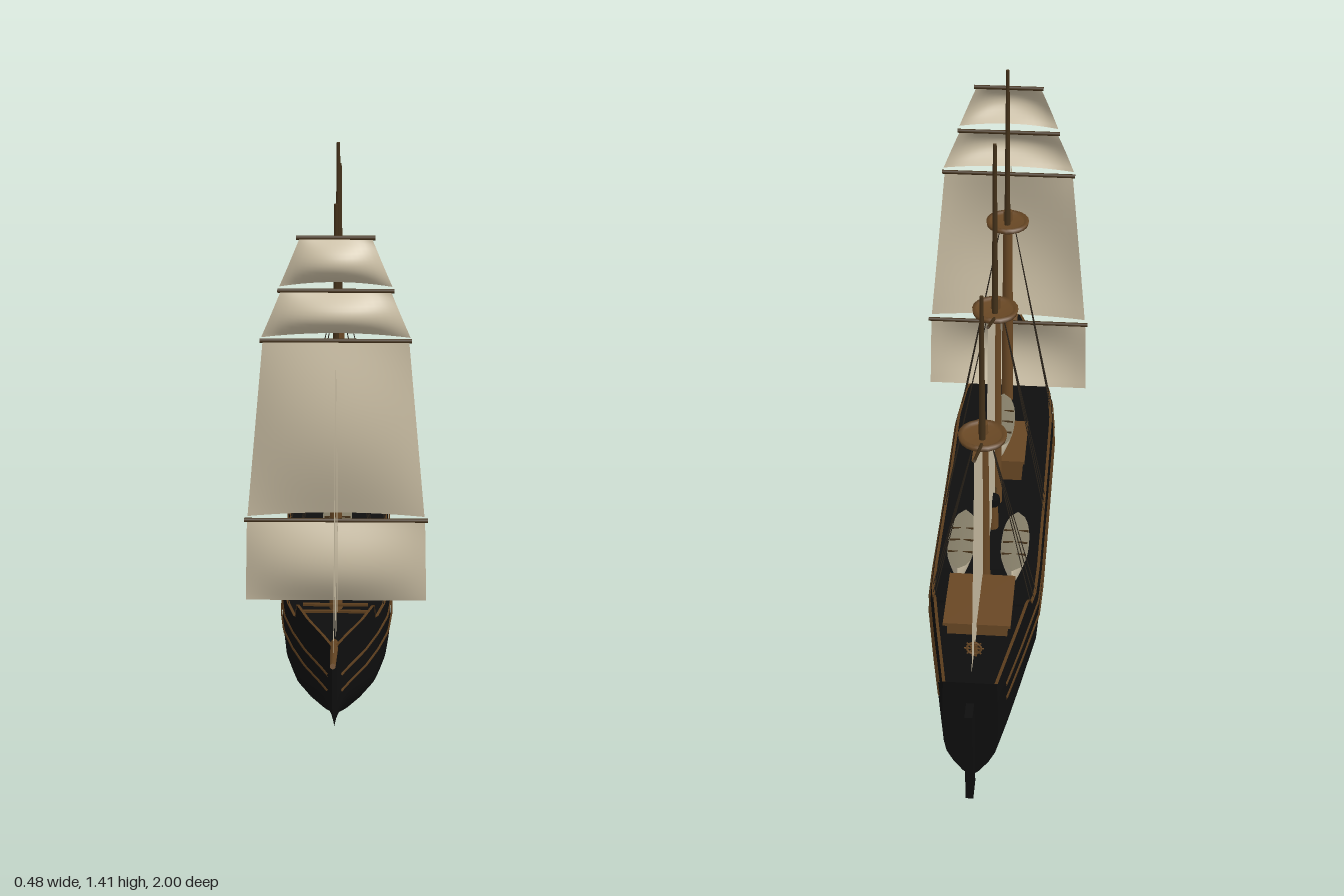
import * as THREE from 'three';

const mat = (name, color, side = THREE.FrontSide) => {
  const m = new THREE.MeshStandardMaterial({ color, side });
  m.name = name;
  return m;
};

// Piecewise linear lookup in [position, value] pairs
function lookup(table, p) {
  if (p <= table[0][0]) return table[0][1];
  for (let i = 1; i < table.length; i++) {
    const [a, va] = table[i - 1], [b, vb] = table[i];
    if (p <= b) return va + (vb - va) * (p - a) / (b - a);
  }
  return table[table.length - 1][1];
}

// Hull lines by z: half width, keel, sheer and top of the bulwark
const WIDTH = [[-.95, .07], [-.72, .112], [-.52, .146], [-.4, .149], [.28, .149], [.4, .137], [.5, .11], [.6, .075], [.7, .03], [.76, .006]];
const KEEL = [[-.95, .037], [-.88, .02], [-.8, .003], [-.75, 0], [.44, 0], [.48, .005], [.53, .025], [.6, .07], [.66, .11], [.7, .128], [.76, .14]];
const SHEER = [[-.95, .31], [-.6, .282], [-.4, .27], [0, .26], [.28, .272], [.5, .29], [.76, .31]];
const TOP = [[-.95, .362], [-.6, .335], [-.57, .29], [-.4, .275], [0, .265], [.28, .28], [.5, .297], [.512, .348], [.76, .372]];
const SECTION = [[0, 0], [.07, .3], [.2, .65], [.32, .88], [.45, .97], [.65, 1], [1, .98]];

const hullX = (z, y) => {
  const k = lookup(KEEL, z);
  return lookup(WIDTH, z) * lookup(SECTION, (y - k) / (lookup(SHEER, z) - k));
};

// Surface through rows of points
function loft(rows) {
  const n = rows[0].length, index = [];
  for (let i = 0; i < rows.length - 1; i++)
    for (let j = 0; j < n - 1; j++) {
      const a = i * n + j, b = a + n;
      index.push(a, b, a + 1, b, b + 1, a + 1);
    }
  const g = new THREE.BufferGeometry();
  g.setAttribute('position', new THREE.Float32BufferAttribute(rows.flat(2), 3));
  g.setIndex(index);
  g.computeVertexNormals();
  return g;
}

export function createModel() {
  const ship = new THREE.Group();
  const black = mat('hullBlack', 0x0e0e0e, THREE.DoubleSide);
  const wood = mat('wood', 0x684724);
  const trim = mat('trimWood', 0x5a3c1c, THREE.DoubleSide);
  const spar = mat('darkSpar', 0x423019);
  const canvas = mat('canvas', 0xc8bca2, THREE.DoubleSide);
  const cover = mat('boatCover', 0x827b66, THREE.DoubleSide);
  const rope = mat('rope', 0x2a231a);

  const add = (name, geo, m, x = 0, y = 0, z = 0, parent = ship) => {
    const mesh = new THREE.Mesh(geo, m);
    mesh.name = name;
    mesh.position.set(x, y, z);
    parent.add(mesh);
    return mesh;
  };
  const box = (name, m, w, h, d, x, y, z) => add(name, new THREE.BoxGeometry(w, h, d), m, x, y, z);
  // Round pole between two points
  const pole = (name, a, b, r0, r1, m, sides = 10) => {
    const A = new THREE.Vector3(...a), B = new THREE.Vector3(...b), d = B.clone().sub(A);
    const mesh = add(name, new THREE.CylinderGeometry(r1, r0, d.length(), sides), m);
    mesh.position.copy(A).add(B).multiplyScalar(.5);
    mesh.quaternion.setFromUnitVectors(new THREE.Vector3(0, 1, 0), d.normalize());
  };

  // Hull, deck and transom
  const zs = [-.57, .512, .76];
  for (let i = 0; i < 72; i++) zs.push(-.95 + i * .0238);
  zs.sort((a, b) => a - b);
  const hullRow = z => {
    const k = lookup(KEEL, z), s = lookup(SHEER, z), w = lookup(WIDTH, z);
    const half = SECTION.map(([v, u]) => [w * u, k + (s - k) * v, z]);
    half.push([w * .95, lookup(TOP, z), z]);
    return [...half.slice(1).reverse().map(([x, y]) => [-x, y, z]), ...half];
  };
  add('hull', loft(zs.map(hullRow)), black);
  for (const z of [-.95, .76]) {
    const row = hullRow(z);
    const end = [row, row.map(p => [0, p[1], p[2]])];
    add(z < 0 ? 'transom' : 'stem', loft(z < 0 ? end : end.reverse()), black);
  }
  add('deck', loft(zs.map(z => {
    const w = lookup(WIDTH, z) * .95, y = lookup(TOP, z) - .018;
    return [[-w, y, z], [w, y, z]];
  })), black);
  box('rudder', black, .02, .285, .06, 0, .15, -.97);

  // Rails and the two stripes along each side
  for (const s of [-1, 1]) {
    add('railCap', loft(zs.map(z => {
      const w = lookup(WIDTH, z) * .95, y = lookup(TOP, z) + .001;
      return [[s * Math.max(w - .006, 0), y, z], [s * (w + .002), y, z]];
    })), trim);
    for (const [mid, rise] of [[.238, .045], [.19, .046]]) {
      const run = zs.filter(z => z > -.9 && z < .755);
      add('sideStripe', loft(run.map(z => {
        const y = mid + rise * (z / .8) ** 2;
        return [y - .0045, y, y + .0045].map((h, i) => [s * (hullX(z, h) + (i === 1 ? .006 : .002)), h, z]);
      })), trim);
    }
  }
  for (const z of [.5, .535]) box('forecastleBeam', trim, .17, .006, .008, 0, .342, z);

  // Masts with lookout tops and shrouds
  const topProfile = [[0, -.018], [.03, -.018], [.042, -.004], [.06, 0], [.062, .012], [.05, .012], [.048, .004], [0, .004]]
    .map(p => new THREE.Vector2(...p));
  for (const [name, z, base, top, tip] of [['fore', .39, .26, .9, 1.39], ['main', -.09, .24, .905, 1.412], ['mizzen', -.52, .26, .805, 1.23]]) {
    pole(name + 'Mast', [0, base, z], [0, top + .035, z], .018, .013, wood, 12);
    pole(name + 'Topmast', [0, top - .02, z - .024], [0, tip, z - .024], .009, .005, spar);
    add(name + 'Top', new THREE.LatheGeometry(topProfile, 20), wood, 0, top, z - .015);
    for (const s of [-1, 1])
      for (const dz of [-.055, -.02, .015]) {
        const foot = z + dz;
        pole(name + 'Shroud', [s * lookup(WIDTH, foot) * .94, lookup(TOP, foot), foot], [s * .02, top - .01, z - .01], .0012, .0012, rope, 4);
      }
  }

  // Square sails and yards: top, bottom, half widths at each
  for (const [y1, y0, w1, w0] of [[.538, .305, .233, .24], [1.043, .555, .184, .231], [1.176, 1.057, .138, .187], [1.314, 1.192, .09, .14]]) {
    const rows = [];
    for (let i = 0; i <= 12; i++) {
      const v = i / 12, row = [];
      for (let j = 0; j <= 16; j++) {
        const u = j / 8 - 1;
        const arch = .012 * (1 - u * u) * (1 - v) * (y0 > .4 ? 1 : 0);
        row.push([u * (w0 + (w1 - w0) * v), y0 + (y1 - y0) * v + arch, .412 + .044 * Math.sin(Math.PI * v) * (1 - u * u * .9)]);
      }
      rows.push(row);
    }
    add('squareSail', loft(rows), canvas);
    pole('yard', [-w1 - .007, y1 + .003, .407], [w1 + .007, y1 + .003, .407], .006, .006, spar, 8);
  }

  // Bowsprit and the staysails above it
  pole('bowsprit', [0, .335, .68], [0, .462, .997], .011, .007, wood);
  const flatSail = (name, pts, x = 0) => {
    const g = new THREE.ShapeGeometry(new THREE.Shape(pts.map(([z, y]) => new THREE.Vector2(-z, y))));
    add(name, g.rotateY(Math.PI / 2), canvas, x);
  };
  flatSail('outerJib', [[.94, .45], [.46, 1.11], [.66, .395]]);
  flatSail('middleJib', [[.86, .42], [.455, 1.0], [.6, .393]], .003);
  flatSail('innerJib', [[.78, .395], [.45, .89], [.555, .39]], .006);

  // Fore-and-aft sails with gaffs
  flatSail('mainSail', [[-.105, .88], [-.35, 1.013], [-.475, .32], [-.3, .305], [-.115, .31]]);
  flatSail('mizzenSail', [[-.535, .785], [-.775, .913], [-.9, .35], [-.72, .345], [-.54, .355]]);
  pole('mainGaff', [0, .88, -.09], [0, 1.016, -.352], .005, .004, spar, 8);
  pole('mizzenGaff', [0, .782, -.52], [0, .916, -.778], .005, .004, spar, 8);
  pole('mainBoom', [0, .308, -.09], [0, .308, -.22], .004, .004, spar, 8);

  // Deckhouses with roofs, windows and doors
  for (const [name, z, y, w, h, d] of [['midDeckhouse', .097, .25, .135, .068, .175], ['aftDeckhouse', -.655, .305, .155, .06, .17]]) {
    box(name, wood, w, h, d, 0, y + h / 2, z);
    box(name + 'Roof', wood, w + .018, .009, d + .025, 0, y + h + .0045, z);
    for (const s of [-1, 1])
      for (const dz of [-.05, 0, .05])
        box(name + 'Window', black, .004, .016, .018, s * w / 2, y + h * .7, z + dz);
    box(name + 'Door', spar, .03, h * .8, .004, 0, y + h * .45, z + d / 2);
  }

  // Ship's boats with ridged covers
  const boat = (x, y, z, L, W, H) => {
    const g = new THREE.Group();
    g.name = 'boat';
    g.position.set(x, y, z);
    ship.add(g);
    const shell = [], lid = [];
    for (let i = 0; i <= 14; i++) {
      const t = i / 7 - 1, w = W * Math.sqrt(Math.max(0, 1 - t ** 4)) * (1 - .3 * t * t) + .001;
      const rim = H * (.85 + .15 * t * t), keel = H * .3 * t ** 4;
      shell.push([-1, -.85, -.5, 0, .5, .85, 1].map(u => [u * w, keel + (rim - keel) * u * u, t * L / 2]));
      lid.push([[-w, rim, t * L / 2], [0, rim + .008 * (1 - t * t), t * L / 2], [w, rim, t * L / 2]]);
    }
    add('boatShell', loft(shell), canvas, 0, 0, 0, g);
    add('boatCover', loft(lid), cover, 0, 0, 0, g);
    for (const t of [-.4, 0, .4]) add('boatStrap', new THREE.BoxGeometry(W * 1.8, .004, .004), spar, 0, H * .88 + .003, t * L / 2, g);
  };
  boat(0, .327, .1, .265, .04, .072);
  boat(-.073, .258, -.36, .25, .037, .07);
  boat(.073, .258, -.36, .25, .037, .07);

  // Stove pipe and steering wheel
  pole('stovePipe', [0, .245, -.21], [0, .335, -.21], .017, .015, wood, 12);
  pole('stoveCap', [0, .335, -.21], [0, .357, -.21], .02, .02, black, 12);
  box('wheelStand', wood, .014, .04, .012, 0, .352, -.82);
  add('steeringWheel', new THREE.TorusGeometry(.018, .003, 6, 18), wood, 0, .365, -.83);
  for (let i = 0; i < 4; i++)
    box('wheelSpoke', wood, .05, .003, .003, 0, .365, -.83).rotation.z = i * Math.PI / 4;

  return ship;
}
